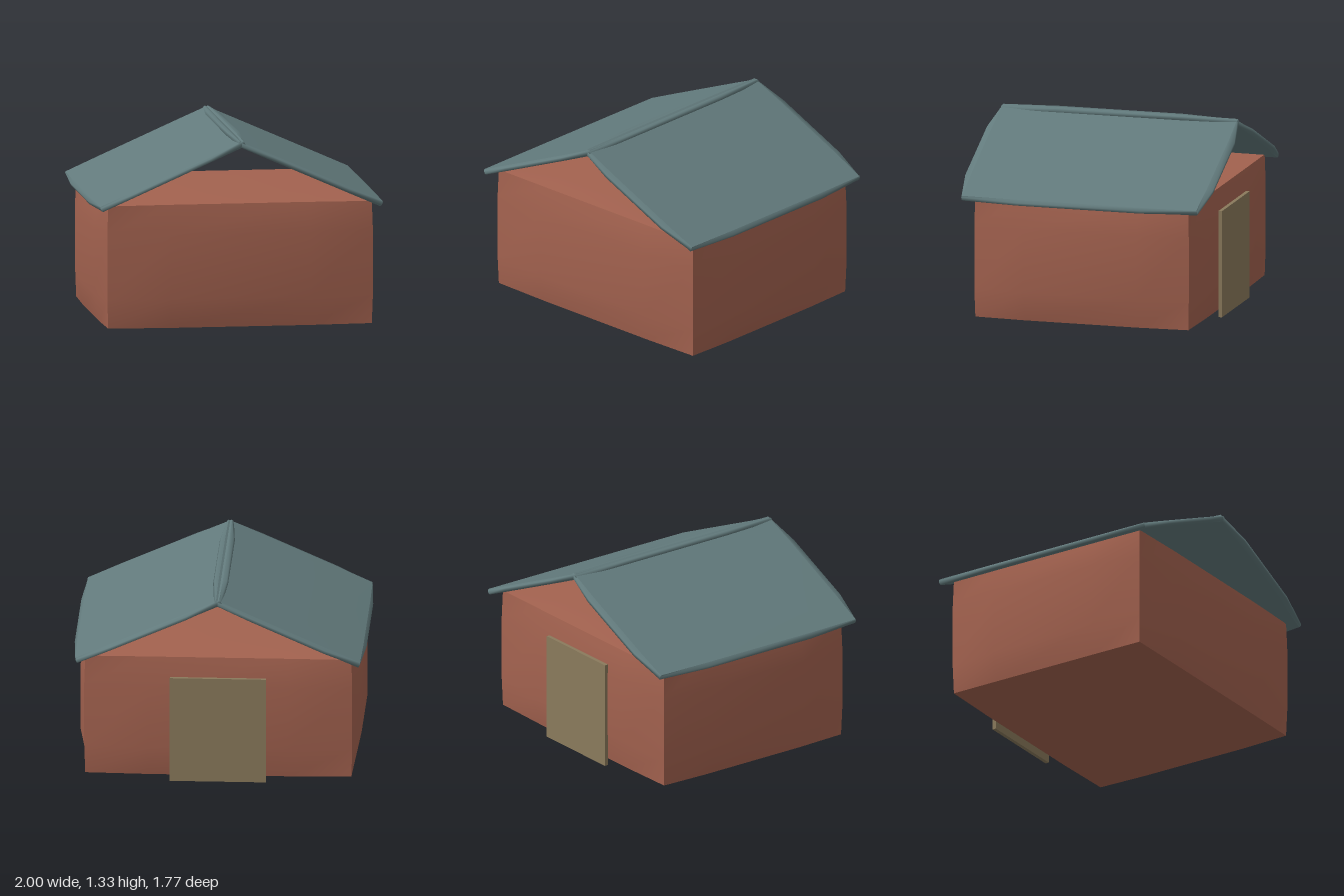
import * as THREE from 'three';

// Box with slightly bulging faces: three segments per side, edges and corners drawn in.
function bulgedBox(w, h, d) {
  const geo = new THREE.BoxGeometry(2, 2, 2, 3, 3, 3);
  const pos = geo.attributes.position;
  const pull = [1, 1, 0.953, 0.946];
  for (let i = 0; i < pos.count; i++) {
    const p = [pos.getX(i), pos.getY(i), pos.getZ(i)];
    const isEnd = p.map((v) => Math.abs(v) > 0.9);
    const ends = isEnd.filter(Boolean).length;
    const q = p.map((v, k) => Math.sign(v) * (isEnd[k] ? pull[ends] : 0.5));
    pos.setXYZ(i, (q[0] * w) / 2, (q[1] * h) / 2, (q[2] * d) / 2);
  }
  geo.computeVertexNormals();
  return geo;
}

function addPart(parent, name, geo, color, x, y, z) {
  const mesh = new THREE.Mesh(geo, new THREE.MeshStandardMaterial({ color }));
  mesh.name = name;
  mesh.position.set(x, y, z);
  parent.add(mesh);
  return mesh;
}

export function createModel() {
  const house = new THREE.Group();
  house.name = 'house';

  // Wall block
  addPart(house, 'walls', bulgedBox(1.93, 0.895, 1.61), 0xa3624f, 0, 0.4525, 0);

  // Two sloping panels that cross at the ridge; the gables stay open
  const slope = 0.416;
  for (const side of [-1, 1]) {
    const panel = addPart(house, side > 0 ? 'leftRoofPanel' : 'rightRoofPanel',
      bulgedBox(1.142, 0.042, 1.77), 0x627a7c, side * 0.475, 1.085, 0);
    panel.rotation.z = -side * slope;
  }

  // Flat door on the back wall
  addPart(house, 'door', new THREE.BoxGeometry(0.66, 0.745, 0.026), 0x8a7a5c, 0, 0.3725, -0.815);

  return house;
}
